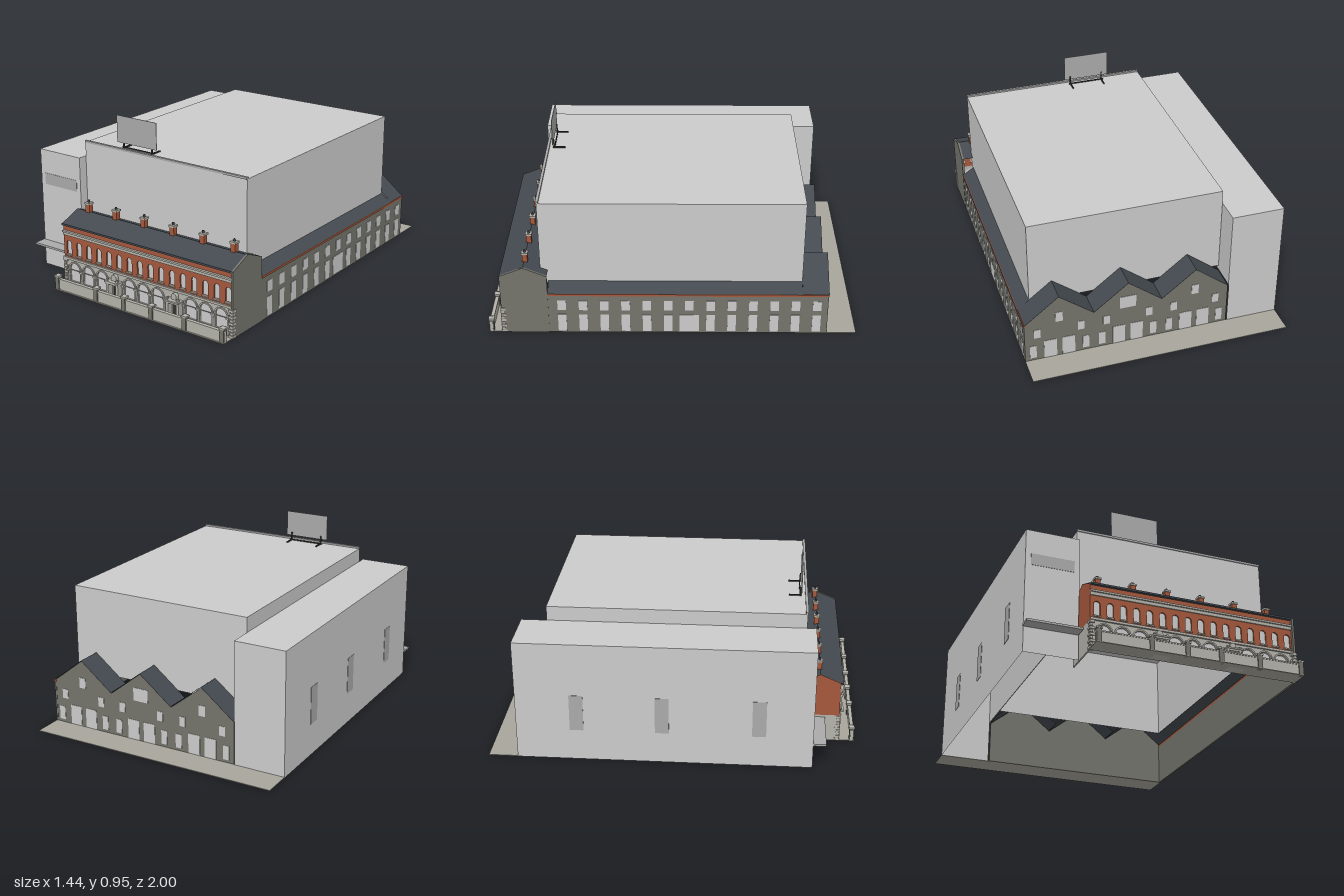
import * as THREE from 'three';

const paint = (color) => new THREE.MeshStandardMaterial({ color, side: THREE.DoubleSide });
const grey = paint(0xcccccc), stone = paint(0xb4b2aa), brick = paint(0xa5583c), slate = paint(0x444a50);
const render = paint(0x74746c), paving = paint(0xa8a59c), dark = paint(0x33332f), panel = paint(0xaaaaaa);

const FACES = { right: 0, left: 1, top: 2, bottom: 3, front: 4, back: 5 };

function add(parent, name, geometry, material) {
  const mesh = new THREE.Mesh(geometry, material);
  mesh.name = name;
  parent.add(mesh);
  return mesh;
}

// Box from its extents; faces listed in open are left out
function box(parent, name, mat, [x0, x1], [y0, y1], [z0, z1], open = []) {
  const g = new THREE.BoxGeometry(x1 - x0, y1 - y0, z1 - z0);
  const skip = open.map((f) => FACES[f]);
  if (skip.length) g.setIndex([...g.index.array].filter((_, i) => !skip.includes(Math.floor(i / 6))));
  g.translate((x0 + x1) / 2, (y0 + y1) / 2, (z0 + z1) / 2);
  return add(parent, name, g, mat);
}

const around = (c, w) => [c - w / 2, c + w / 2];

function polygon(points) {
  return new THREE.Shape(points.map(([x, y]) => new THREE.Vector2(x, y)));
}

// Round-headed outline of width w, from y0 to y1, centred on x
function archPath(x, w, y0, y1, Type = THREE.Path) {
  const r = w / 2, p = new Type();
  p.moveTo(x - r, y0);
  p.lineTo(x + r, y0);
  p.lineTo(x + r, y1 - r);
  p.absarc(x, y1 - r, r, 0, Math.PI, false);
  p.lineTo(x - r, y0);
  return p;
}

// Upright slab, its front face at z
function slab(parent, name, mat, shape, z, depth) {
  const g = new THREE.ExtrudeGeometry(shape, { depth, bevelEnabled: false, curveSegments: 8 });
  g.translate(0, 0, z - depth);
  return add(parent, name, g, mat);
}

// Profile of (z, y) points extruded along x
function alongX(parent, name, mat, points, x0, x1) {
  const shape = polygon(points.map(([z, y]) => [-z, y]));
  const g = new THREE.ExtrudeGeometry(shape, { depth: x1 - x0, bevelEnabled: false });
  g.rotateY(Math.PI / 2);
  g.translate(x0, 0, 0);
  return add(parent, name, g, mat);
}

// Thin sheet swept between two parallel polylines
function sheet(parent, name, mat, lineA, lineB) {
  const pos = [];
  for (let i = 0; i < lineA.length - 1; i++) {
    const [a, b, c, d] = [lineA[i], lineB[i], lineB[i + 1], lineA[i + 1]];
    pos.push(...a, ...b, ...c, ...a, ...c, ...d);
  }
  const g = new THREE.BufferGeometry();
  g.setAttribute('position', new THREE.Float32BufferAttribute(pos, 3));
  g.computeVertexNormals();
  return add(parent, name, g, mat);
}

function group(parent, name) {
  const g = new THREE.Group();
  g.name = name;
  parent.add(g);
  return g;
}

const L = -0.425, R = 0.715;

function buildHalls(root) {
  const hall = group(root, 'mainHall');
  box(hall, 'hallShell', grey, [L, 0.65], [0.28, 0.77], [-0.7, 0.71], ['bottom', 'front']);
  box(hall, 'hallFrontWall', grey, [L, 0.65], [0.34, 0.77], [0.705, 0.71]);
  box(hall, 'roofEdge', panel, [L, 0.65], [0.768, 0.78], [0.7, 0.715]);

  const block = group(root, 'sideBlock');
  box(block, 'blockShell', grey, [-0.72, -0.43], [0, 0.69], [-0.84, 0.76], ['bottom', 'right']);
  box(block, 'blockInnerWall', grey, [-0.432, -0.428], [0.25, 0.69], [-0.84, 0.76]);
  box(block, 'frontPanel', panel, [-0.69, -0.455], [0.49, 0.555], [0.76, 0.762]);
  box(block, 'canopy', panel, [-0.725, -0.43], [0.138, 0.15], [0.76, 0.83]);
  for (const z of [-0.51, -0.05, 0.47]) box(block, 'sidePanel', panel, [-0.722, -0.72], [0.18, 0.39], around(z, 0.075));

  // Rooftop board on L-shaped brackets
  const board = group(root, 'rooftopBoard');
  box(board, 'boardFace', panel, [-0.22, 0.05], [0.8, 0.95], [0.678, 0.681]);
  for (const x of [-0.18, 0.015]) {
    box(board, 'bracketFoot', dark, around(x, 0.007), [0.77, 0.777], [0.61, 0.68]);
    box(board, 'bracketPost', dark, around(x, 0.007), [0.77, 0.82], [0.671, 0.678]);
  }
  box(board, 'bracketRail', dark, [-0.19, 0.025], [0.772, 0.778], [0.668, 0.674]);
}

function buildFrontRange(root) {
  const range = group(root, 'frontRange');
  const face = 0.91;
  sheet(range, 'frontRoof', slate,
    [[L, 0.36, 0.92], [L, 0.41, 0.795], [L, 0.36, 0.67]], [[R, 0.36, 0.92], [R, 0.41, 0.795], [R, 0.36, 0.67]]);
  alongX(range, 'rightGable', render, [[0.67, 0], [0.925, 0], [0.925, 0.36], [0.795, 0.414], [0.67, 0.36]], 0.705, R + 0.002);
  alongX(range, 'leftGable', brick, [[0.67, 0.16], [face, 0.16], [face, 0.36], [0.795, 0.41], [0.67, 0.36]], L, L + 0.008);
  box(range, 'leftGableBase', stone, [L, L + 0.008], [0, 0.16], [0.67, face]);

  // Upper brick storey with arched windows
  const upper = polygon([[L, 0.16], [R, 0.16], [R, 0.36], [L, 0.36]]);
  for (let i = 0; i < 16; i++) {
    const x = -0.388 + i * 0.0711;
    upper.holes.push(archPath(x, 0.034, 0.185, 0.266));
    box(range, 'windowSill', stone, around(x, 0.042), [0.179, 0.186], [face, face + 0.007]);
  }
  slab(range, 'brickStorey', brick, upper, face, 0.012);
  box(range, 'upperGlazing', grey, [L + 0.01, 0.7], [0.175, 0.275], [face - 0.011, face - 0.008]);

  // String courses, cornice and gutter
  for (const [y0, y1, out, mat] of [[0.157, 0.17, 0.01, stone], [0.295, 0.312, 0.006, stone],
    [0.312, 0.322, 0.014, stone], [0.352, 0.362, 0.014, slate]]) {
    box(range, 'moulding', mat, [L, R], [y0, y1], [face - 0.005, face + out]);
  }

  // Ground-floor arcade
  const arches = [-0.35, -0.252, -0.155, 0.037, 0.132, 0.228, 0.445, 0.54, 0.636];
  const doors = [-0.058, 0.348];
  const lower = polygon([[L, 0], [R, 0], [R, 0.16], [L, 0.16]]);
  for (const x of arches) {
    lower.holes.push(archPath(x, 0.074, 0.03, 0.14));
    const ring = archPath(x, 0.09, 0.1, 0.148, THREE.Shape);
    ring.holes.push(archPath(x, 0.074, 0.1001, 0.14));
    slab(range, 'archMoulding', stone, ring, face + 0.006, 0.006);
    for (const s of [-1, 1]) {
      const column = add(range, 'archColumn', new THREE.CylinderGeometry(0.005, 0.006, 0.09, 8), stone);
      column.position.set(x + s * 0.043, 0.05, face + 0.004);
      box(range, 'columnCapital', stone, around(x + s * 0.043, 0.016), [0.093, 0.102], [face, face + 0.011]);
    }
  }
  for (const x of doors) lower.holes.push(archPath(x, 0.04, 0.005, 0.105));
  slab(range, 'stoneStorey', stone, lower, face, 0.012);
  box(range, 'lowerGlazing', grey, [L + 0.01, 0.7], [0.02, 0.15], [face - 0.011, face - 0.008]);

  // Porches with paired columns and a carved crest
  for (const x of doors) {
    const porch = group(range, 'porch');
    for (const s of [-1, 1]) {
      box(porch, 'porchPier', stone, around(x + s * 0.034, 0.016), [0, 0.1], [face, 0.945]);
      box(porch, 'porchFinial', stone, around(x + s * 0.034, 0.012), [0.118, 0.13], [0.932, 0.944]);
    }
    box(porch, 'porchLintel', stone, around(x, 0.088), [0.1, 0.11], [face, 0.948]);
    box(porch, 'porchCornice', stone, around(x, 0.096), [0.11, 0.118], [face, 0.953]);
    box(porch, 'porchStep', stone, around(x, 0.09), [0, 0.012], [face, 0.958]);
    slab(porch, 'porchCrest', stone, archPath(x, 0.034, 0.118, 0.152, THREE.Shape), face + 0.02, 0.02);
    box(porch, 'door', dark, around(x, 0.042), [0, 0.1], [face - 0.007, face - 0.004]);
  }

  // Corner quoins
  for (let i = 0; i < 9; i++) {
    const w = i % 2 ? 0.014 : 0.024, y = [0.003 + i * 0.0175, 0.016 + i * 0.0175];
    box(range, 'quoin', stone, [L - 0.003, L + w], y, [face - w, face + 0.007]);
    box(range, 'quoin', stone, [R - w, R + 0.005], y, [face - w + 0.015, 0.929]);
  }

  // Chimneys on the ridge
  for (let i = 0; i < 6; i++) {
    const x = -0.342 + i * 0.1944, z = 0.79;
    const chimney = group(range, 'chimney');
    box(chimney, 'chimneyStack', brick, around(x, 0.028), [0.385, 0.452], around(z, 0.028));
    box(chimney, 'chimneyCap', stone, around(x, 0.036), [0.452, 0.462], around(z, 0.036));
    add(chimney, 'chimneyPot', new THREE.CylinderGeometry(0.006, 0.007, 0.014, 8), slate).position.set(x, 0.468, z);
  }

  // Forecourt, boundary wall and gate piers
  const fence = group(root, 'boundaryWall');
  box(fence, 'forecourt', paving, [L, R], [0, 0.004], [0.91, 1]);
  box(fence, 'lowWall', stone, [L, R], [0.004, 0.06], [0.978, 0.992]);
  box(fence, 'wallCoping', stone, [L, R], [0.06, 0.067], [0.975, 0.995]);
  for (const x of [-0.408, -0.13, 0.063, 0.247, 0.464, 0.7]) {
    box(fence, 'pier', render, around(x, 0.026), [0, 0.076], [0.972, 0.998]);
    box(fence, 'pierCap', stone, around(x, 0.034), [0.076, 0.084], [0.968, 1]);
    const tip = add(fence, 'pierTip', new THREE.ConeGeometry(0.019, 0.01, 4), stone);
    tip.rotation.y = Math.PI / 4;
    tip.position.set(x, 0.089, 0.984);
  }
}

function buildSideAndRear(root) {
  // Long side range with two rows of windows
  const side = group(root, 'sideRange');
  box(side, 'sideWall', render, [R - 0.01, R], [0, 0.24], [-0.84, 0.67]);
  box(side, 'brickEaves', brick, [R - 0.01, R + 0.004], [0.238, 0.25], [-0.84, 0.67]);
  sheet(side, 'leanToRoof', slate, [[R, 0.25, 0.67], [0.65, 0.292, 0.67]], [[R, 0.25, -0.7], [0.65, 0.292, -0.7]]);
  for (let i = 0; i < 13; i++) {
    const z = 0.597 - i * 0.1148, mid = i === 6;
    box(side, 'upperWindow', grey, [R, R + 0.002], [0.145, 0.207], around(z, 0.046));
    box(side, mid ? 'sideDoor' : 'lowerWindow', grey, [R, R + 0.002], [0.01, 0.117], around(z, mid ? 0.105 : 0.046));
  }

  // Three-gabled rear range
  const rear = group(root, 'rearRange');
  const span = (R - L) / 3, eave = 0.245, peak = 0.395;
  const line = [];
  for (let i = 0; i <= 6; i++) line.push([L + (i * span) / 2, i % 2 ? peak : eave]);
  slab(rear, 'gabledWall', render, polygon([[R, 0], ...line.slice().reverse(), [L, 0]]), -0.83, 0.008);
  sheet(rear, 'sawtoothRoof', slate, line.map(([x, y]) => [x, y + 0.004, -0.7]), line.map(([x, y]) => [x, y + 0.004, -0.843]));
  const pane = (name, x, w, y0, y1) => box(rear, name, grey, around(x, w), [y0, y1], [-0.84, -0.837]);
  for (let i = 0; i < 3; i++) {
    const c = L + span * (i + 0.5), mid = i === 1;
    pane('gableWindow', c, mid ? 0.09 : 0.04, 0.235, mid ? 0.31 : 0.295);
    for (const s of [-1, 1]) {
      pane('rearUpperWindow', c + s * 0.12, 0.036, 0.15, 0.205);
      pane('rearLowerWindow', c + s * 0.145, 0.036, 0.02, 0.1);
      pane('rearDoor', c + s * 0.05, 0.07, 0.005, 0.12);
    }
  }
  box(root, 'rearPavement', paving, [-0.72, R], [0, 0.004], [-1, -0.838]);
}

export function createModel() {
  const root = new THREE.Group();
  root.name = 'building';
  buildHalls(root);
  buildFrontRange(root);
  buildSideAndRear(root);
  return root;
}
